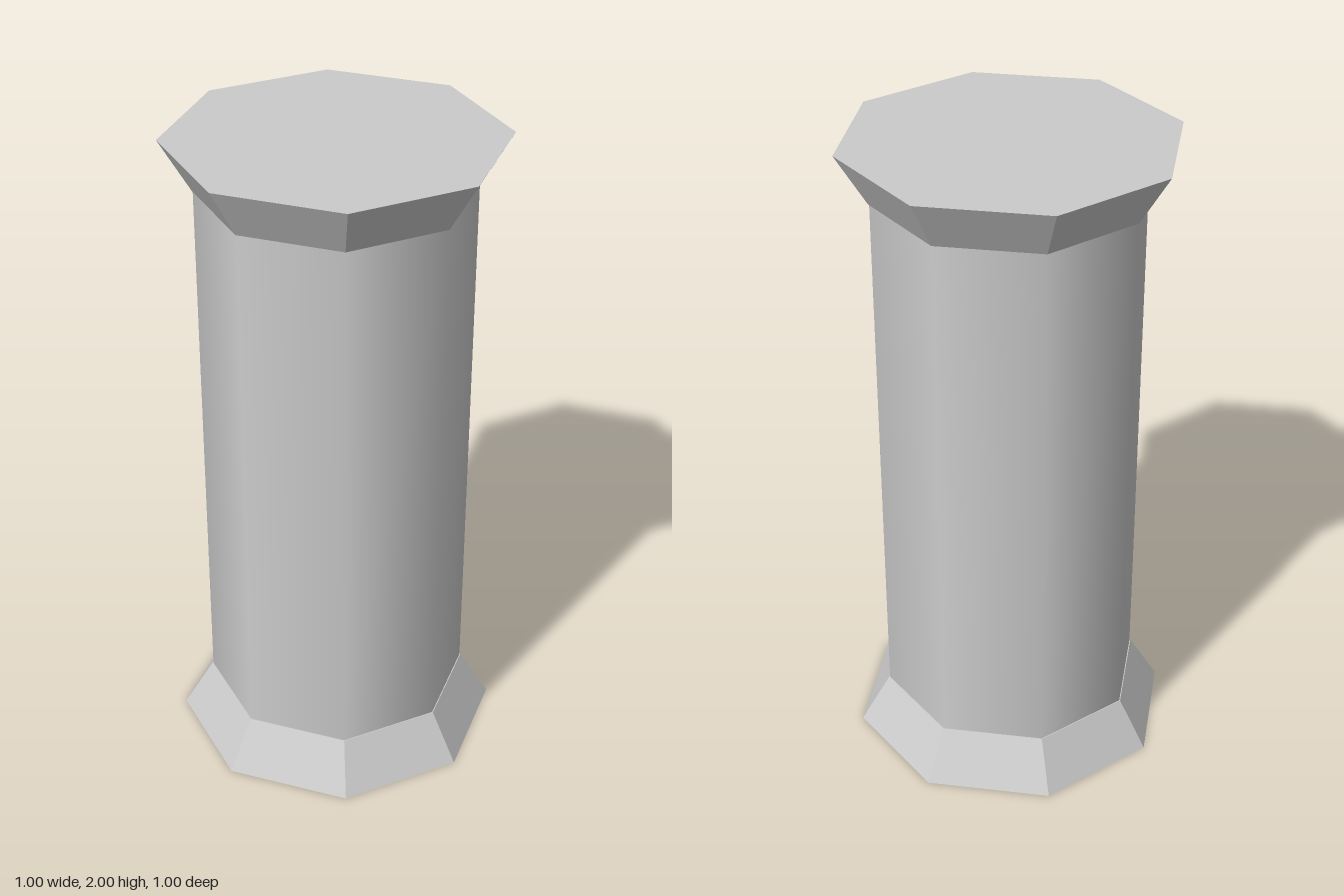
import * as THREE from 'three';

const SIDES = 8;
const HEIGHT = 2;
const FLANGE_HEIGHT = 0.155;
const FLANGE_OUTER = 0.5;
const FLANGE_INNER = 0.408;
const SHAFT_RADIUS = 0.405;

export function createModel() {
  const group = new THREE.Group();
  group.name = 'column';
  const smooth = new THREE.MeshStandardMaterial({ color: 0xcccccc });
  const faceted = new THREE.MeshStandardMaterial({ color: 0xcccccc, flatShading: true });

  // Eight-sided shaft, smooth shaded around its girth
  const shaftHeight = HEIGHT - 2 * FLANGE_HEIGHT;
  const shaft = new THREE.Mesh(
    new THREE.CylinderGeometry(SHAFT_RADIUS, SHAFT_RADIUS, shaftHeight, SIDES, 1, true), smooth);
  shaft.name = 'shaft';
  shaft.position.y = HEIGHT / 2;
  group.add(shaft);

  // Flared octagonal base and capital, each widening away from the shaft
  const addFlange = (name, topRadius, bottomRadius, y) => {
    const flange = new THREE.Mesh(
      new THREE.CylinderGeometry(topRadius, bottomRadius, FLANGE_HEIGHT, SIDES), faceted);
    flange.name = name;
    flange.position.y = y;
    group.add(flange);
  };
  addFlange('base', FLANGE_INNER, FLANGE_OUTER, FLANGE_HEIGHT / 2);
  addFlange('capital', FLANGE_OUTER, FLANGE_INNER, HEIGHT - FLANGE_HEIGHT / 2);

  return group;
}
